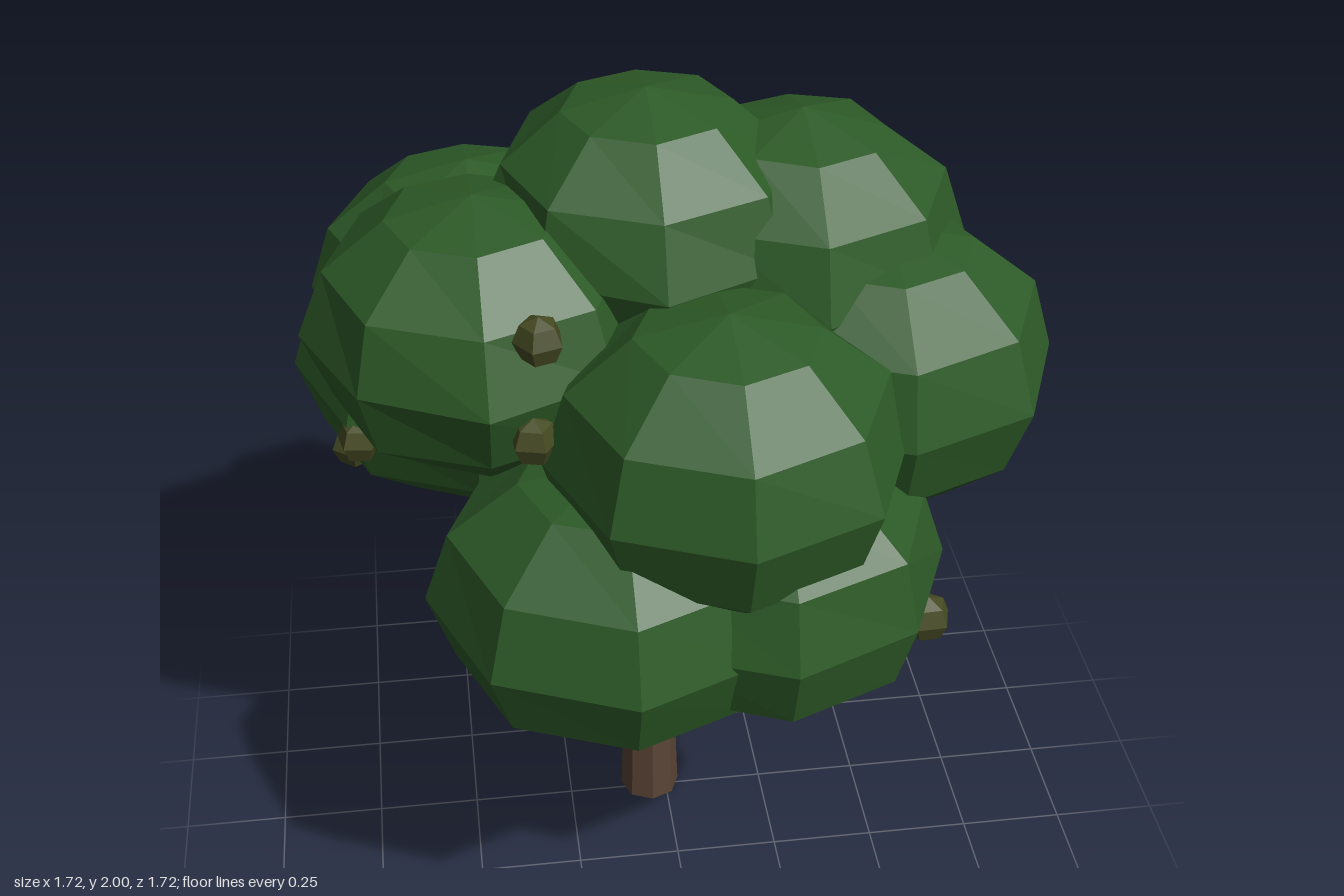
import * as THREE from 'three';

const mat = (color) => new THREE.MeshStandardMaterial({ color, flatShading: true });

// Flattened low-poly ball with a slightly uneven surface
function foliageBall(r, h, seed) {
  const geometry = new THREE.SphereGeometry(r, 8, 6);
  const p = geometry.attributes.position;
  const v = new THREE.Vector3();
  for (let i = 0; i < p.count; i++) {
    v.fromBufferAttribute(p, i);
    const bump = Math.sin(9 * v.x + seed) * Math.sin(11 * v.y + 2 * seed) * Math.cos(10 * v.z + 3 * seed);
    v.multiplyScalar(1 + 0.035 * bump);
    p.setXYZ(i, v.x, v.y * h / r, v.z);
  }
  return geometry;
}

export function createModel() {
  const tree = new THREE.Group();
  tree.name = 'tree';
  const bark = mat(0x5a4436);
  const leaf = mat(0x2d5a27);
  const nut = mat(0x454a22);

  const add = (name, geometry, material, x, y, z) => {
    const mesh = new THREE.Mesh(geometry, material);
    mesh.name = name;
    mesh.position.set(x, y, z);
    tree.add(mesh);
    return mesh;
  };

  // Tapered trunk
  add('trunk', new THREE.CylinderGeometry(0.037, 0.075, 1.1, 8), bark, -0.04, 0.55, -0.02);

  // Branches rising from the trunk into the crown
  const fork = new THREE.Vector3(-0.04, 0.65, -0.02);
  [
    [-0.36, 1.03, -0.36],
    [0.08, 1.02, 0.22],
    [0.16, 1.15, -0.05],
  ].forEach((end) => {
    const dir = new THREE.Vector3(...end).sub(fork);
    const length = dir.length();
    const geometry = new THREE.CylinderGeometry(0.02, 0.033, length, 6);
    geometry.translate(0, length / 2, 0);
    const branch = add('branch', geometry, bark, ...fork.toArray());
    branch.quaternion.setFromUnitVectors(new THREE.Vector3(0, 1, 0), dir.normalize());
  });

  // Crown balls: x, y, z, radius, half height
  [
    [-0.04, 1.69, -0.02, 0.37, 0.31],
    [0.3, 1.61, -0.02, 0.37, 0.315],
    [0.07, 1.39, 0.45, 0.39, 0.33],
    [-0.42, 1.53, 0.11, 0.38, 0.31],
    [-0.42, 1.48, -0.18, 0.36, 0.29],
    [0.46, 1.39, 0.13, 0.395, 0.33],
    [0.385, 1.19, -0.28, 0.405, 0.35],
    [0.23, 1.12, -0.42, 0.33, 0.28],
    [-0.28, 1.23, -0.5, 0.36, 0.3],
    [-0.44, 1.16, -0.37, 0.42, 0.34],
    [-0.16, 1.05, 0.44, 0.42, 0.33],
    [0.17, 1.07, 0.44, 0.39, 0.32],
  ].forEach(([x, y, z, r, h], i) => {
    add('foliage', foliageBall(r, h, i + 1), leaf, x, y, z);
  });

  // Small nuts on the outside of the crown
  [
    [-0.31, 1.67, 0.42],
    [-0.33, 1.45, 0.45],
    [-0.69, 1.45, -0.43],
    [-0.71, 1.12, -0.08],
    [-0.73, 1.01, -0.22],
    [0.5, 0.99, 0.57],
    [0.76, 1.39, -0.1],
    [0.77, 1.24, 0.13],
    [0.565, 1.08, -0.61],
  ].forEach((p, i) => {
    add('nut', new THREE.SphereGeometry(0.055, 5, 4), nut, ...p).rotation.y = i * 0.7;
  });

  return tree;
}
